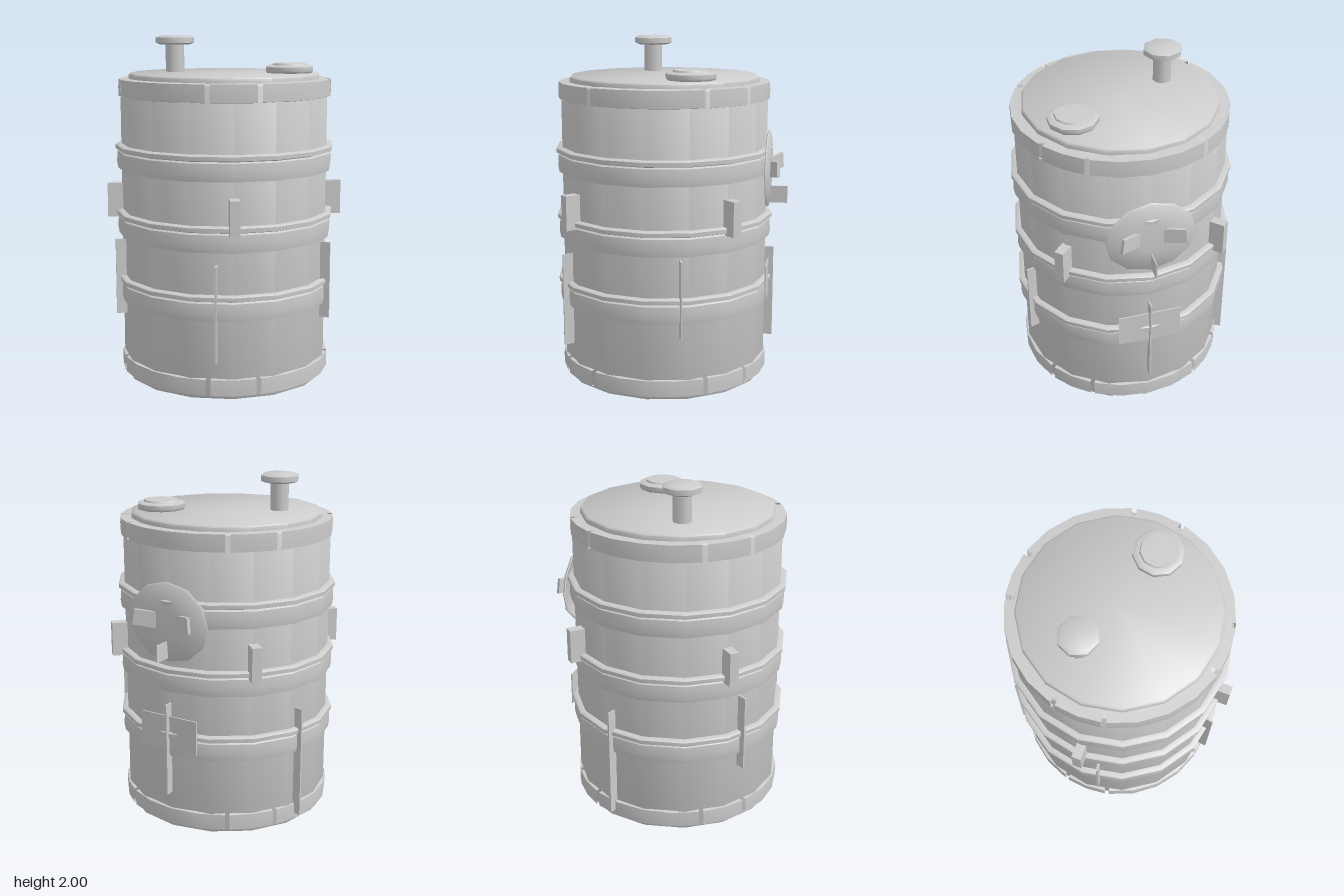
import * as THREE from 'three';
import { toCreasedNormals } from 'three/addons/utils/BufferGeometryUtils.js';

const CZ = 0.045; // the barrel axis sits slightly forward, balancing the rear handle
const SIDES = 16;
const RAD = Math.PI / 180;

export function createModel() {
  const model = new THREE.Group();
  const barrel = new THREE.Group();
  barrel.name = 'barrel';
  barrel.position.z = CZ;
  model.add(barrel);

  const mat = new THREE.MeshStandardMaterial({ color: 0xcccccc, side: THREE.DoubleSide });

  function add(geometry, name, x = 0, y = 0, z = 0, parent = barrel) {
    const mesh = new THREE.Mesh(geometry, mat);
    mesh.name = name;
    mesh.position.set(x, y, z);
    parent.add(mesh);
    return mesh;
  }

  // Turned part from [radius, height] pairs, listed bottom to top
  function turned(points, sides = SIDES, start = 0, length = Math.PI * 2) {
    const profile = points.map(([r, y]) => new THREE.Vector2(r, y));
    return toCreasedNormals(new THREE.LatheGeometry(profile, sides, start, length), 48 * RAD);
  }

  // Box standing on the barrel wall, at an angle measured from the front
  function radialBox(name, angle, r0, r1, y0, y1, width) {
    const r = (r0 + r1) / 2;
    const mesh = add(new THREE.BoxGeometry(width, y1 - y0, r1 - r0), name,
      Math.sin(angle) * r, (y0 + y1) / 2, Math.cos(angle) * r);
    mesh.rotation.y = angle;
  }

  // Drum with closed base and lid
  add(turned([[0, 0], [0.6, 0], [0.61, 0.02], [0.61, 1.74], [0.6, 1.75], [0.56, 1.75]]), 'body');
  add(turned([[0.56, 1.74], [0.56, 1.775], [0.55, 1.785], [0, 1.785]]), 'lid');

  // Three hoops, each a broad band with a raised bead on top
  for (const y of [0.455, 0.84, 1.23]) {
    add(turned([
      [0.6, y], [0.63, y], [0.637, y + 0.04], [0.633, y + 0.1], [0.622, y + 0.108],
      [0.644, y + 0.115], [0.645, y + 0.138], [0.635, y + 0.146], [0.6, y + 0.146],
    ]), 'hoop');
  }

  // Top and bottom rims, split into long and short pieces with narrow gaps
  for (const [y0, y1, name] of [[1.65, 1.755, 'topRim'], [0.02, 0.12, 'bottomRim']]) {
    const points = [[0.6, y0], [0.62, y0 + 0.004], [0.622, y0 + 0.05], [0.62, y1 - 0.004], [0.57, y1]];
    if (name === 'bottomRim') points[4][0] = 0.6;
    for (let i = 0; i < 4; i++) {
      const a = i * Math.PI / 2;
      add(turned(points, 4, a - 30.5 * RAD, 61 * RAD), name);
      add(turned(points, 2, a + 33 * RAD, 24 * RAD), name);
    }
  }

  // Four blocks on the diagonals
  for (let i = 0; i < 4; i++) {
    radialBox('sideBlock', (45 + 90 * i) * RAD, 0.57, 0.695, 0.94, 1.14, 0.055);
  }

  // Five thin upright fins at uneven heights
  const fins = [[36, 0.22, 0.77], [108, 0.37, 0.82], [180, 0.22, 0.77], [252, 0.06, 0.72], [324, 0.37, 0.82]];
  for (const [deg, y0, y1] of fins) {
    radialBox('fin', deg * RAD, 0.57, 0.66, y0, y1, 0.01);
  }

  // Vent pipe with mushroom cap
  add(new THREE.CylinderGeometry(0.055, 0.055, 0.18, 8), 'ventPipe', -0.285, 1.865, 0.165 - CZ);
  add(turned([[0, 1.945], [0.09, 1.945], [0.113, 1.955], [0.113, 1.985], [0.09, 1.997], [0, 2]], 8),
    'ventCap', -0.285, 0, 0.165 - CZ);

  // Filler cap
  add(turned([[0.13, 1.78], [0.142, 1.795], [0.142, 1.82], [0.12, 1.83], [0.105, 1.83],
    [0.1, 1.84], [0, 1.842]], 10), 'fillerCap', 0.32, 0, -0.16 - CZ);

  // Round hatch on the back
  const hatch = new THREE.Group();
  hatch.name = 'hatch';
  hatch.position.set(0, 1.245, -0.57);
  model.add(hatch);
  const disc = add(turned([[0.25, 0], [0.26, 0.004], [0.25, 0.014], [0.1, 0.024], [0, 0.024]], 12),
    'hatchDisc', 0, 0, 0, hatch);
  disc.rotation.x = -Math.PI / 2;
  disc.scale.z = 0.88;

  // Hatch grips: one upright fin below and a splayed pair above
  add(new THREE.BoxGeometry(0.006, 0.1, 0.115), 'hatchGrip', 0, -0.155, -0.0625, hatch);
  for (const s of [-1, 1]) {
    const grip = add(new THREE.BoxGeometry(0.13, 0.09, 0.018), 'hatchGrip', s * 0.125, 0.015, -0.045, hatch);
    grip.rotation.set(0, s * 28 * RAD, s * 8 * RAD);
  }

  // Flat plate behind the rear fin
  add(new THREE.BoxGeometry(0.37, 0.2, 0.008), 'backPlate', 0, 0.595, -0.583, model);

  return model;
}
